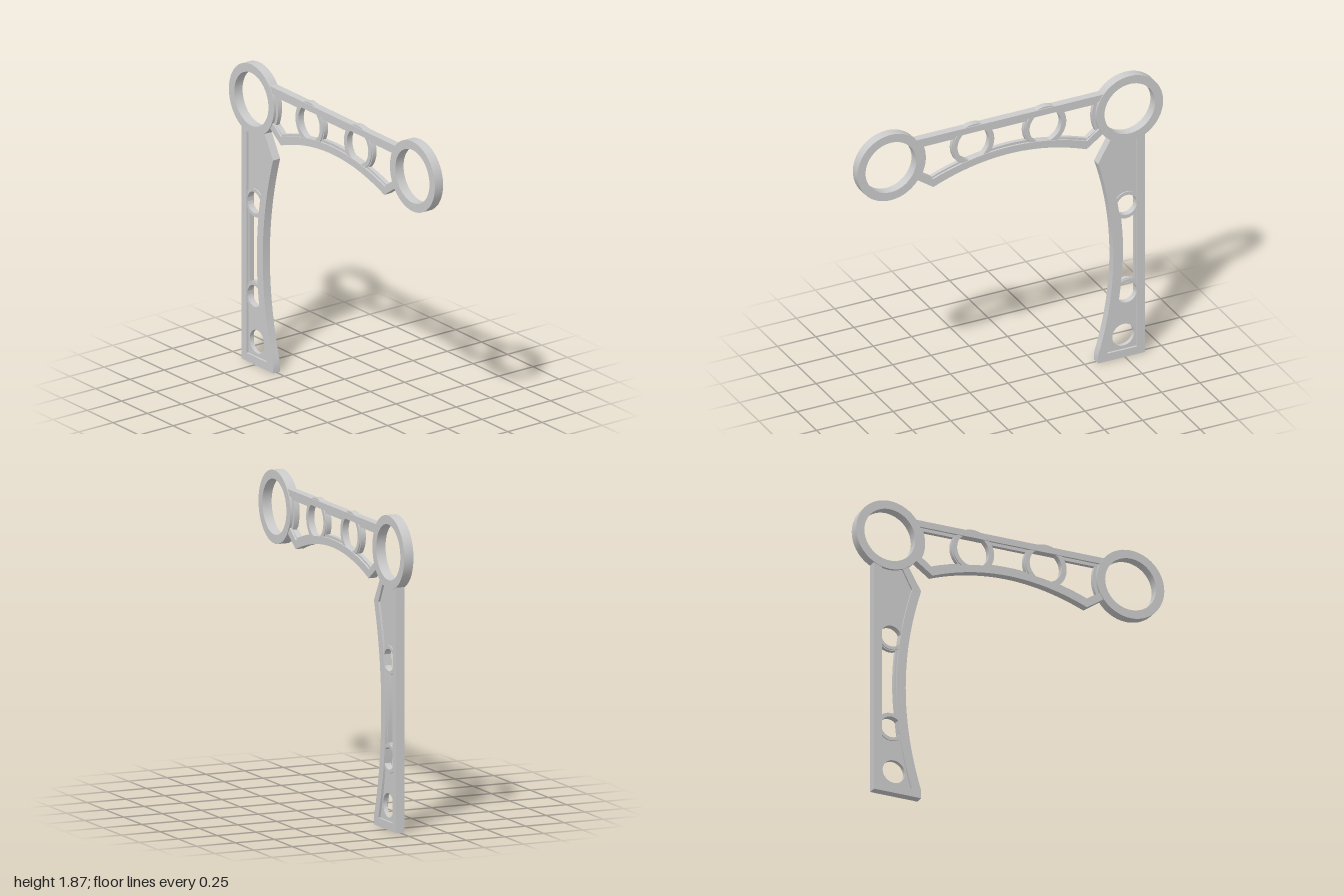
import * as THREE from 'three';
import { toCreasedNormals } from 'three/addons/utils/BufferGeometryUtils.js';

const RING_X = 0.78, RING_Y = 1.65;
const rad = THREE.MathUtils.degToRad;

// Path from corners [x, y] and quadratic curves [controlX, controlY, x, y]
function trace(path, steps) {
  steps.forEach((s, i) => {
    if (i === 0) path.moveTo(s[0], s[1]);
    else if (s.length === 4) path.quadraticCurveTo(...s);
    else path.lineTo(s[0], s[1]);
  });
  path.closePath();
  return path;
}

function circle(x, y, r, Type = THREE.Path) {
  return new Type().absarc(x, y, r, 0, Math.PI * 2, false);
}

export function createModel() {
  const model = new THREE.Group();
  const material = new THREE.MeshStandardMaterial({ color: 0xcccccc });

  // Plate of the given depth, centred on z = 0
  function plate(name, shape, depth, holes = []) {
    shape.holes.push(...holes);
    const geometry = new THREE.ExtrudeGeometry(shape, { depth, bevelEnabled: false, curveSegments: 24 });
    geometry.translate(0, 0, -depth / 2);
    const mesh = new THREE.Mesh(toCreasedNormals(geometry, rad(30)), material);
    mesh.name = name;
    model.add(mesh);
  }
  const ring = (name, x, y, outer, inner, depth) =>
    plate(name, circle(x, y, outer, THREE.Shape), depth, [circle(x, y, inner)]);

  // Large end rings and the two rings in the beam
  for (const side of [-1, 1]) {
    const label = side < 0 ? 'right' : 'left';
    ring(label + 'EndRing', side * RING_X, RING_Y, 0.218, 0.165, 0.06);
    ring(label + 'BeamRing', side * 0.235, 1.665, 0.132, 0.104, 0.04);
  }

  // Beam: straight top bar and arched lower flange
  plate('beamTopBar', trace(new THREE.Shape(),
    [[-0.615, 1.745], [0.615, 1.745], [0.612, 1.785], [-0.612, 1.785]]), 0.05);
  plate('beamLowerArch', trace(new THREE.Shape(), [
    [-0.615, 1.527], [-0.5, 1.447], [0, 1.643, 0.5, 1.447], [0.615, 1.527],
    [0.595, 1.568], [0.503, 1.5], [0, 1.68, -0.503, 1.5], [-0.595, 1.568],
  ]), 0.05);

  // Beam web: windows follow the collars around the rings
  const middleWindow = new THREE.Path();
  middleWindow.absarc(-0.235, 1.665, 0.139, rad(-28), rad(25.6), false);
  middleWindow.absarc(0.235, 1.665, 0.139, rad(154.4), rad(208), false);
  middleWindow.quadraticCurveTo(0, 1.61, -0.112, 1.6);
  middleWindow.closePath();

  const endWindow = new THREE.Path();
  endWindow.absarc(-0.235, 1.665, 0.139, rad(154.4), rad(227), false);
  endWindow.quadraticCurveTo(-0.42, 1.542, -0.505, 1.51);
  endWindow.absarc(-RING_X, RING_Y, 0.237, rad(-25), rad(18.4), false);
  endWindow.closePath();
  const mirroredWindow = new THREE.Path(
    endWindow.getPoints(16).map((p) => new THREE.Vector2(-p.x, p.y)));

  plate('beamWeb', trace(new THREE.Shape(), [
    [-0.615, 1.765], [-0.6, 1.54], [-0.5, 1.47], [0, 1.66, 0.5, 1.47], [0.6, 1.54], [0.615, 1.765],
  ]), 0.026, [
    middleWindow, endWindow, mirroredWindow,
    circle(-0.235, 1.665, 0.11), circle(0.235, 1.665, 0.11),
  ]);

  // Leg: raised frame with a concave inner side
  plate('legFrame', trace(new THREE.Shape(), [
    [-0.88, 0], [-0.575, 0], [-0.575, 0.05], [-0.775, 0.69, -0.575, 1.33],
    [-0.665, 1.485], [-0.78, 1.457], [-0.88, 1.48],
  ]), 0.052, [trace(new THREE.Path(), [
    [-0.83, 0.05], [-0.635, 0.05], [-0.831, 0.69, -0.632, 1.33],
    [-0.7, 1.46], [-0.78, 1.446], [-0.83, 1.45],
  ])]);

  // Leg web: slot between two round holes, plus a foot hole
  const holeX = -0.765, upperY = 1.007, lowerY = 0.423;
  const slot = new THREE.Path();
  slot.absarc(holeX, upperY, 0.092, rad(232), rad(291), false);
  slot.quadraticCurveTo(-0.757, 0.715, holeX + 0.092 * Math.cos(rad(69)), lowerY + 0.092 * Math.sin(rad(69)));
  slot.absarc(holeX, lowerY, 0.092, rad(69), rad(128), false);
  slot.closePath();
  plate('legWeb', trace(new THREE.Shape(), [
    [-0.86, 0.02], [-0.6, 0.02], [-0.6, 0.05], [-0.8, 0.69, -0.6, 1.33],
    [-0.68, 1.478], [-0.78, 1.452], [-0.86, 1.47],
  ]), 0.026, [
    slot, circle(holeX, upperY, 0.07), circle(holeX, lowerY, 0.07), circle(-0.746, 0.142, 0.072),
  ]);
  ring('legUpperRing', holeX, upperY, 0.087, 0.066, 0.04);
  ring('legLowerRing', holeX, lowerY, 0.087, 0.066, 0.04);

  return model;
}
